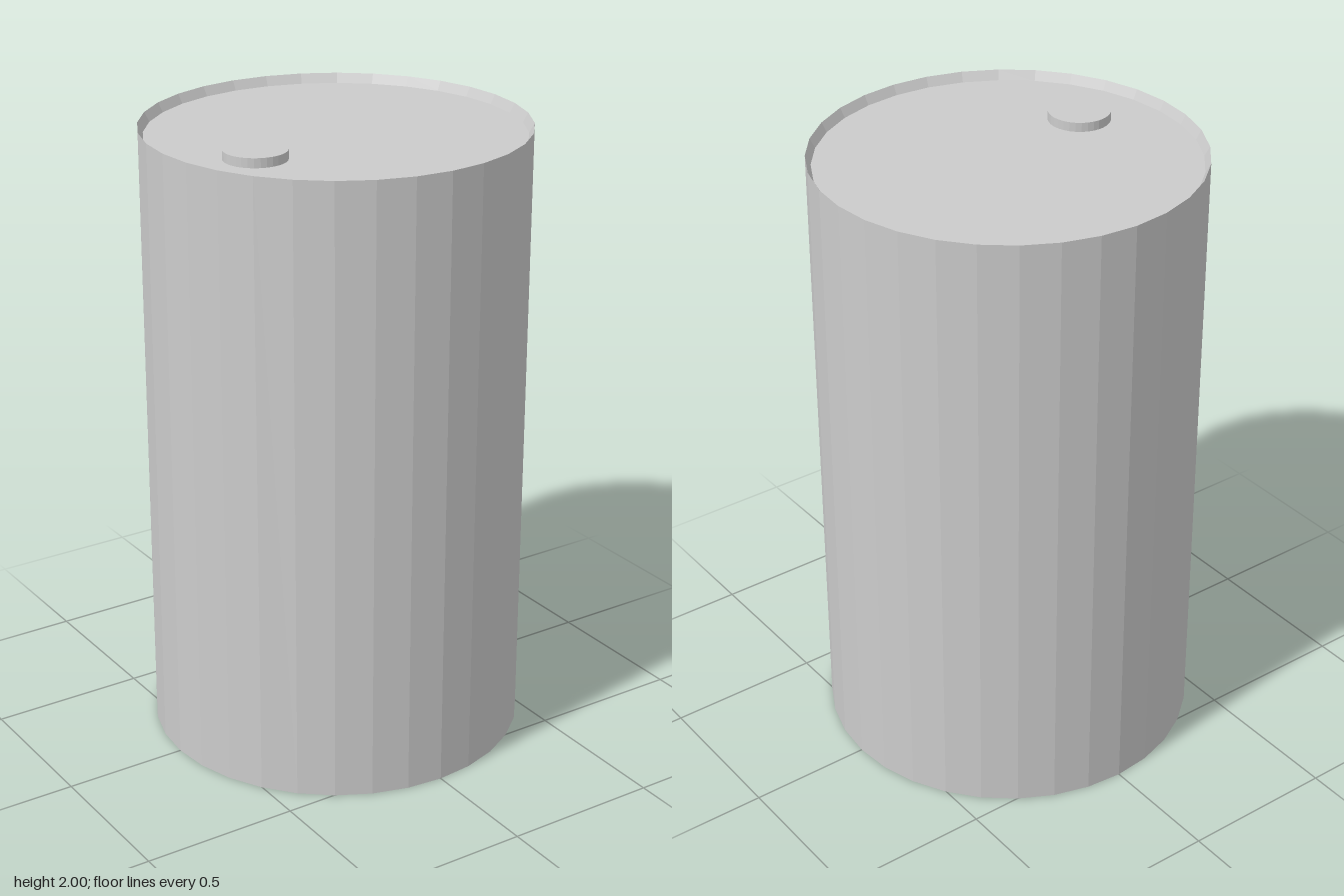
import * as THREE from 'three';

const SIDES = 32;
const RADIUS = 0.603;
const INNER = 0.587;
const HEIGHT = 2;
const RECESS = 0.03;

export function createModel() {
  const group = new THREE.Group();
  group.name = 'drum';
  const material = new THREE.MeshStandardMaterial({ color: 0xcccccc, flatShading: true });

  // Body: straight wall with both ends sunk behind a thin sloping rim
  const profile = [
    [0, RECESS], [INNER, RECESS], [RADIUS, 0],
    [RADIUS, HEIGHT], [INNER, HEIGHT - RECESS], [0, HEIGHT - RECESS],
  ].map(([r, y]) => new THREE.Vector2(r, y));
  const body = new THREE.Mesh(new THREE.LatheGeometry(profile, SIDES), material);
  body.name = 'drumBody';
  group.add(body);

  // Filler cap: low disc on the lid, level with the rim
  const cap = new THREE.Mesh(new THREE.CylinderGeometry(0.098, 0.098, RECESS, SIDES), material);
  cap.name = 'fillerCap';
  cap.position.set(-0.352, HEIGHT - RECESS / 2, 0.106);
  group.add(cap);

  return group;
}
